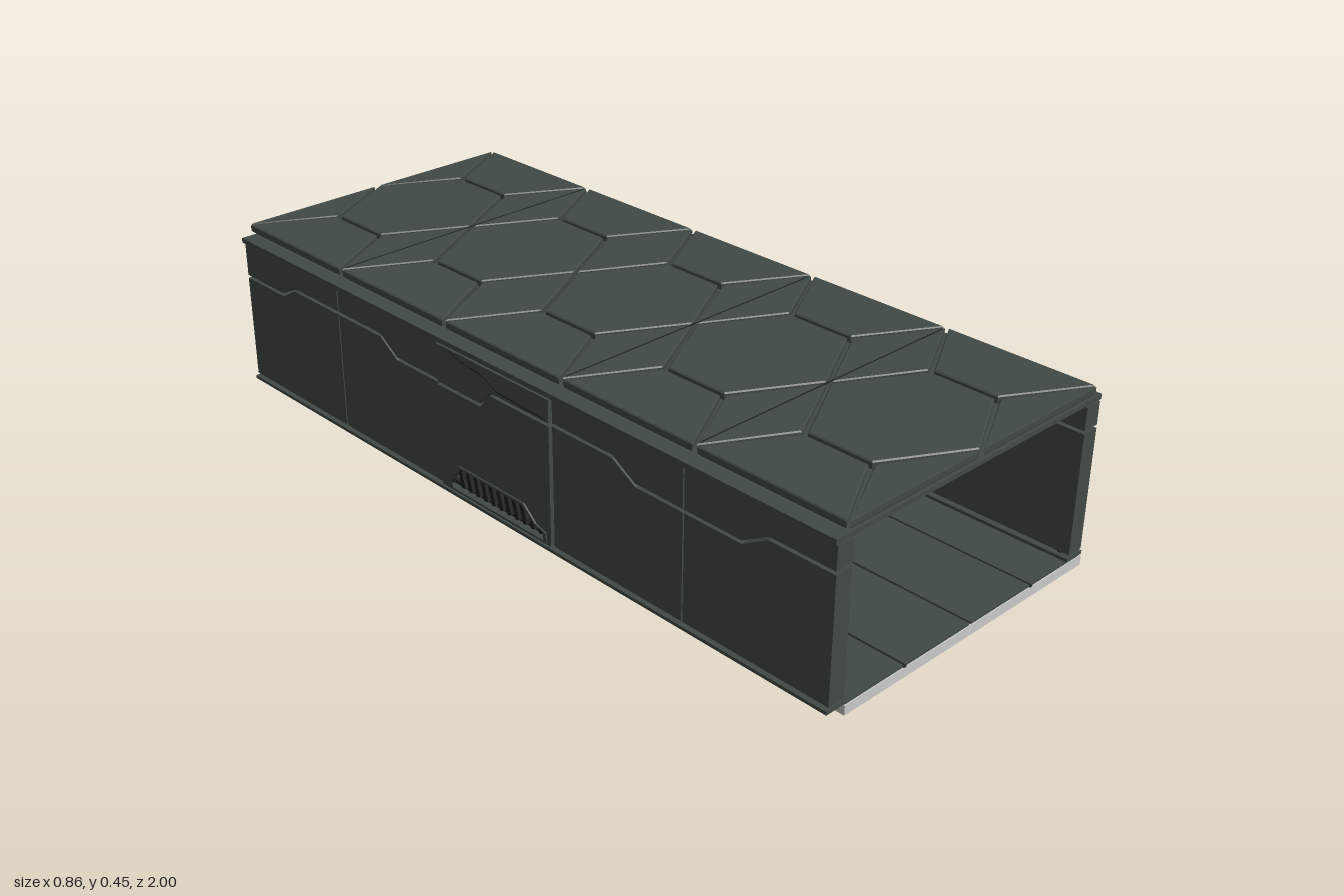
import * as THREE from 'three';

const mat = (name, color, side = THREE.FrontSide) => {
  const m = new THREE.MeshStandardMaterial({ color, side });
  m.name = name;
  return m;
};

export function createModel() {
  const dark = mat('dark green grey', 0x414a46);
  const seamMat = mat('seam black', 0x1f2422);
  const light = mat('light grey', 0xc9c9c9);
  const root = new THREE.Group();

  const group = (name, parent = root) => {
    const g = new THREE.Group();
    g.name = name;
    parent.add(g);
    return g;
  };
  const add = (parent, name, geo, material) => {
    const m = new THREE.Mesh(geo, material);
    m.name = name;
    parent.add(m);
    return m;
  };
  // box given by its limits on each axis
  const box = (parent, name, material, x0, x1, y0, y1, z0, z1) => {
    const m = add(parent, name, new THREE.BoxGeometry(x1 - x0, y1 - y0, z1 - z0), material);
    m.position.set((x0 + x1) / 2, (y0 + y1) / 2, (z0 + z1) / 2);
    return m;
  };
  const shapeOf = pts => new THREE.Shape(pts.map(p => new THREE.Vector2(...p)));
  const extrude = (shape, depth) => new THREE.ExtrudeGeometry(shape, { depth, bevelEnabled: false });
  // side plate outlined in (z, y), running from x0 to x1
  const sidePlate = (pts, x0, x1, hole) => {
    const flip = a => a.map(([z, y]) => [-z, y]);
    const s = shapeOf(flip(pts));
    if (hole) s.holes.push(shapeOf(flip(hole)));
    return extrude(s, x1 - x0).rotateY(Math.PI / 2).translate(x0, 0, 0);
  };

  // ---- floor: pale slab with dark panels on top
  const floor = group('floor');
  box(floor, 'floorSlab', light, -0.37, 0.425, 0, 0.024, -1, 1);
  const cols = [-0.37, -0.185, 0.03, 0.24, 0.425], rows = [-1, -0.6, -0.2, 0.2, 0.6, 1];
  for (let c = 0; c < 4; c++) for (let r = 0; r < 5; r++)
    box(floor, 'floorPanel', dark, cols[c] + 0.003, cols[c + 1] - 0.003, 0.024, 0.029, rows[r] + 0.003, rows[r + 1] - 0.003);
  for (const x of [-0.185, 0.24]) box(floor, 'floorSeam', seamMat, x - 0.004, x + 0.004, 0.024, 0.027, -1, 1);

  // ---- side walls, split along a stepped seam
  const seam = [[1, 0.35], [0.83, 0.35], [0.76, 0.31], [0.46, 0.31], [0.39, 0.35], [0, 0.35], [-0.035, 0.31],
    [-0.35, 0.31], [-0.41, 0.35], [-0.77, 0.35], [-0.82, 0.32], [-0.98, 0.32]];
  const seamY = z => {
    for (let i = 1; i < seam.length; i++) {
      const [za, ya] = seam[i - 1], [zb, yb] = seam[i];
      if (z >= zb - 1e-6) return ya + (yb - ya) * (za - z) / (za - zb);
    }
    return 0.32;
  };
  const vent = [[0.185, 0.05], [0.185, 0.075], [0.15, 0.085], [0.11, 0.12], [-0.12, 0.12], [-0.155, 0.085], [-0.155, 0.05]];

  const buildWall = (name, cuts) => {
    const wall = group(name);
    for (let i = 1; i < cuts.length; i++) {
      const centre = cuts[i - 1] === 0.2;
      const za = cuts[i - 1] - (i > 1 ? 0.002 : 0), zb = cuts[i] + (i < cuts.length - 1 ? 0.002 : 0);
      const line = [[za, seamY(za)], ...seam.filter(([z]) => z < za - 0.001 && z > zb + 0.001), [zb, seamY(zb)]];
      const out = centre ? 0.427 : 0.42;
      add(wall, 'lowerWallPanel', sidePlate([[zb, 0.045], [za, 0.045], ...line.map(([z, y]) => [z, y - 0.004])],
        0.375, out, centre ? vent : null), dark);
      add(wall, 'upperWallPanel', sidePlate([[zb, 0.41], [za, 0.41], ...line.map(([z, y]) => [z, y + 0.004])],
        0.375, out), dark);
    }
    // backing behind the closed rear seam and the panel joints
    box(wall, 'seamBacking', seamMat, 0.37, 0.376, 0.28, 0.38, -0.98, -0.19);
    for (const z of cuts.slice(1, -1)) box(wall, 'jointBacking', seamMat, 0.372, 0.415, 0.05, 0.3, z - 0.004, z + 0.004);
    // vent frame and slanted slats
    const inner = vent.map(([z, y]) => [0.015 + (z - 0.015) * 0.94, 0.08 + (y - 0.08) * 0.85]);
    add(wall, 'ventFrame', sidePlate(vent, 0.4, 0.431, inner), dark);
    for (let i = 0; i < 11; i++) {
      const slat = box(wall, 'ventSlat', seamMat, 0.395, 0.41, 0.047, 0.121, -0.007, 0.007);
      slat.position.z = 0.135 - i * 0.0275;
      slat.rotation.x = -0.25;
    }
    box(wall, 'ventEnd', seamMat, 0.395, 0.41, 0.05, 0.078, 0.145, 0.185);
    // thin stepped line above the vent section
    const step = [[0.19, 0.36], [0.03, 0.366], [-0.02, 0.389], [-0.1, 0.395], [-0.14, 0.408]];
    for (let i = 1; i < step.length; i++) {
      const [z0, y0] = step[i - 1], [z1, y1] = step[i];
      const s = box(wall, 'stepLine', seamMat, 0.425, 0.4285, -0.0015, 0.0015, -0.5, 0.5);
      s.scale.z = Math.hypot(z1 - z0, y1 - y0);
      s.position.set(0.427, (y0 + y1) / 2, (z0 + z1) / 2);
      s.rotation.x = Math.atan2(y1 - y0, z0 - z1);
    }
    // lower rail standing on small pins, and the cap rail above
    box(wall, 'lowerRail', dark, 0.37, 0.425, 0.029, 0.037, -0.985, 1);
    for (let i = 0; i < 6; i++) {
      const pin = add(wall, 'railPin', new THREE.CylinderGeometry(0.008, 0.008, 0.012, 10), seamMat);
      pin.position.set(0.39, 0.041, 0.97 - i * 0.386);
    }
    box(wall, 'railWeb', seamMat, 0.385, 0.395, 0.036, 0.046, -0.98, 0.6);
    box(wall, 'capRail', dark, 0.37, 0.425, 0.4135, 0.4255, -0.985, 1);
    return wall;
  };
  buildWall('wallLeft', [1, 0.2, -0.19, -0.58, -0.98]);
  // mirrored copy: rotate half a turn would swap ends, so reflect in x
  buildWall('wallRight', [1, 0.6, 0.2, -0.19, -0.58, -0.98]).scale.x = -1;

  // ---- back wall with its own stepped gap and an opening for the plaque
  const back = group('backWall');
  const backSeam = [[-0.375, 0.35], [-0.198, 0.35], [-0.122, 0.306], [0.17, 0.306], [0.242, 0.35], [0.375, 0.35]];
  const backPlate = pts => extrude(shapeOf(pts), 0.03).translate(0, 0, -0.985);
  add(back, 'backLower', backPlate([[-0.375, 0.045], [-0.097, 0.045], [-0.097, 0.287], [0.154, 0.287], [0.154, 0.045],
    [0.375, 0.045], ...backSeam.map(([x, y]) => [x, y - 0.003]).reverse()]), dark);
  add(back, 'backUpper', backPlate([...backSeam.map(([x, y]) => [x, y + 0.003]), [0.375, 0.409], [-0.375, 0.409]]), dark);
  box(back, 'backJoint', seamMat, 0.0215, 0.0245, 0.31, 0.408, -0.9865, -0.983);
  box(back, 'plaqueJoint', seamMat, 0.02, 0.028, 0.286, 0.3, -0.957, -0.953);
  for (const [x, y] of [[-0.35, 0.393], [0, 0.393], [0.045, 0.393], [-0.35, 0.063]]) {
    const bolt = add(back, 'bolt', new THREE.CylinderGeometry(0.006, 0.006, 0.006, 12).rotateX(Math.PI / 2), seamMat);
    bolt.position.set(x, y, -0.954);
  }

  // ---- pale plaque with raised ornament facing inward
  const plaque = group('plaque');
  plaque.position.set(0.026, 0.165, -0.95);
  const bevelled = (shape, depth, b) => new THREE.ExtrudeGeometry(shape,
    { depth, bevelThickness: b, bevelSize: b, bevelOffset: -b, bevelSegments: 1, curveSegments: 24 });
  const square = (hx, hy) => shapeOf([[-hx, -hy], [hx, -hy], [hx, hy], [-hx, hy]]);
  box(plaque, 'plaqueBase', light, -0.121, 0.121, -0.12, 0.12, -0.037, 0.002);
  const frame = square(0.121, 0.12);
  frame.holes.push(square(0.104, 0.103));
  add(plaque, 'plaqueFrame', bevelled(frame, 0.006, 0.005), light);
  for (let i = 0; i < 4; i++) {
    const q = group('plaqueQuarter', plaque);
    q.rotation.z = i * Math.PI / 2;
    // diagonal bar, edge triangle and corner stud
    const bar = add(q, 'diagonalBar', bevelled(square(0.042, 0.014), 0.004, 0.003), light);
    bar.position.set(0.056, 0.056, 0.001);
    bar.rotation.z = -Math.PI / 4;
    add(q, 'edgeTriangle', bevelled(shapeOf([[-0.04, 0.098], [0, 0.06], [0.04, 0.098]]), 0.003, 0.002), light);
    const stud = add(q, 'stud', new THREE.SphereGeometry(0.007, 12, 8), light);
    stud.position.set(0.097, 0.096, 0.004);
  }
  const scallop = [];
  for (let i = 0; i < 64; i++) {
    const a = i / 64 * Math.PI * 2, r = 0.05 + 0.004 * Math.cos(a * 16);
    scallop.push([r * Math.cos(a), r * Math.sin(a)]);
  }
  add(plaque, 'scallopedDisc', bevelled(shapeOf(scallop), 0.005, 0.002), light);
  const ring = add(plaque, 'bossRing', new THREE.TorusGeometry(0.034, 0.004, 8, 32), light);
  ring.position.z = 0.008;
  const boss = add(plaque, 'boss', new THREE.SphereGeometry(0.028, 24, 16), light);
  boss.position.z = 0.006;

  // ---- roof slab and bevelled tiles
  const roof = group('roof');
  for (const [a, b] of [[-1, -0.602], [-0.598, 1]]) box(roof, 'roofSlab', dark, -0.37, 0.37, 0.415, 0.425, a, b);
  const tile = (name, pts) => {
    const g = new THREE.ExtrudeGeometry(shapeOf(pts.map(([x, z]) => [x, -z])), {
      depth: 0.013, bevelThickness: 0.003, bevelSize: 0.003, bevelOffset: -0.009, bevelSegments: 1 });
    add(roof, name, g.rotateX(-Math.PI / 2).translate(0, 0.434, 0), dark);
  };
  const xs = [-0.395, 0.008, 0.411];
  const mid = [(xs[0] + xs[1]) / 2, (xs[1] + xs[2]) / 2];
  for (let r = 0; r < 5; r++) {
    const z0 = -1 + r * 0.4, z1 = z0 + 0.4, za = z0 + 0.113, zb = z1 - 0.113;
    tile('sideTile', [[xs[0], z0], [xs[0], z1], [mid[0], zb], [mid[0], za]]);
    tile('centreTile', [[mid[0], za], [mid[0], zb], [xs[1], z1], [mid[1], zb], [mid[1], za], [xs[1], z0]]);
    tile('sideTile', [[xs[2], z0], [mid[1], za], [mid[1], zb], [xs[2], z1]]);
  }
  for (let r = 0; r <= 5; r++) for (let c = 0; c < 2; c++) {
    const z = -1 + r * 0.4, pts = [[xs[c], z]];
    if (r < 5) pts.push([mid[c], z + 0.113]);
    pts.push([xs[c + 1], z]);
    if (r > 0) pts.push([mid[c], z - 0.113]);
    tile('diamondTile', pts);
  }
  for (const z of [-0.6, 0.2, 0.6])
    box(roof, 'roofJoint', seamMat, xs[0] + 0.02, xs[2] - 0.02, 0.449, 0.4505, z - 0.002, z + 0.002);

  return root;
}
